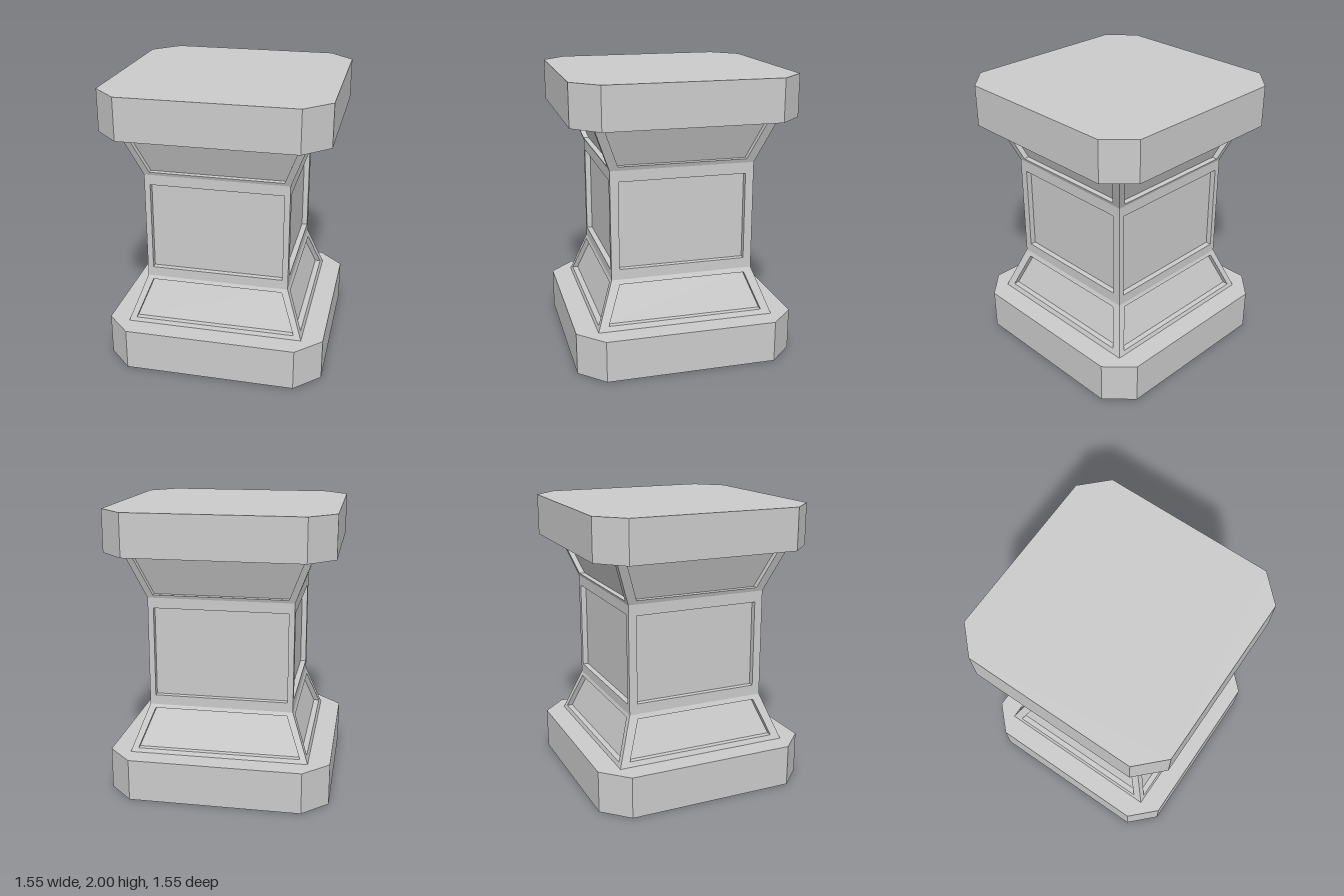
import * as THREE from 'three';

const material = new THREE.MeshStandardMaterial({ color: 0xcccccc, flatShading: true });
const DEPTH = 0.04; // recess of the panels

// Square slab with chamfered corners
function slab(name, y, height) {
  const a = 0.775, b = 0.6;
  const shape = new THREE.Shape([
    [a, -b], [a, b], [b, a], [-b, a], [-a, b], [-a, -b], [-b, -a], [b, -a],
  ].map(([x, z]) => new THREE.Vector2(x, z)));
  const geometry = new THREE.ExtrudeGeometry(shape, { depth: height, bevelEnabled: false });
  geometry.rotateX(-Math.PI / 2).translate(0, y, 0);
  const mesh = new THREE.Mesh(geometry, material);
  mesh.name = name;
  return mesh;
}

// Symmetric trapezoid, counter-clockwise from bottom left; zAt gives the depth at a height
function trapezoid(x0, y0, x1, y1, zAt) {
  return [[-x0, y0], [x0, y0], [x1, y1], [-x1, y1]].map(([x, y]) => [x, y, zAt(y)]);
}

// One wall facing +z: frame, straight recess walls and sunken panel
function panelWall(name, section, inset) {
  const { y0, y1, w0, w1 } = section;
  const zAt = (y) => w0 + ((w1 - w0) * (y - y0)) / (y1 - y0);
  const outer = trapezoid(w0, y0, w1, y1, zAt);
  const inner = trapezoid(...inset, zAt);
  const floor = inner.map(([x, y, z]) => [x, y, z - DEPTH]);
  const positions = [];
  const quad = (a, b, c, d) => positions.push(...a, ...b, ...c, ...a, ...c, ...d);
  for (let i = 0; i < 4; i++) {
    const j = (i + 1) % 4;
    quad(outer[i], outer[j], inner[j], inner[i]);
    quad(inner[i], inner[j], floor[j], floor[i]);
  }
  quad(...floor);
  const geometry = new THREE.BufferGeometry();
  geometry.setAttribute('position', new THREE.Float32BufferAttribute(positions, 3));
  geometry.computeVertexNormals();
  const mesh = new THREE.Mesh(geometry, material);
  mesh.name = name;
  return mesh;
}

export function createModel() {
  const model = new THREE.Group();
  model.name = 'pedestal';
  model.add(slab('baseSlab', 0, 0.295), slab('topSlab', 1.708, 0.292));

  // Stacked sections; panels on front/back are slightly larger than on the sides.
  // Insets: bottom half width, bottom y, top half width, top y
  const sections = [
    { name: 'lowerFlare', y0: 0.295, y1: 0.62, w0: 0.625, w1: 0.505,
      front: [0.57, 0.323, 0.465, 0.595], side: [0.55, 0.33, 0.45, 0.588] },
    { name: 'shaft', y0: 0.62, y1: 1.39, w0: 0.505, w1: 0.505,
      front: [0.465, 0.688, 0.465, 1.318], side: [0.447, 0.694, 0.447, 1.312] },
    { name: 'upperFlare', y0: 1.39, y1: 1.708, w0: 0.505, w1: 0.625,
      front: [0.465, 1.412, 0.57, 1.684], side: [0.45, 1.418, 0.55, 1.678] },
  ];
  for (const section of sections) {
    const group = new THREE.Group();
    group.name = section.name;
    ['Front', 'Left', 'Back', 'Right'].forEach((side, i) => {
      const wall = panelWall(section.name + side, section, i % 2 ? section.side : section.front);
      wall.rotation.y = (i * Math.PI) / 2;
      group.add(wall);
    });
    model.add(group);
  }
  return model;
}
